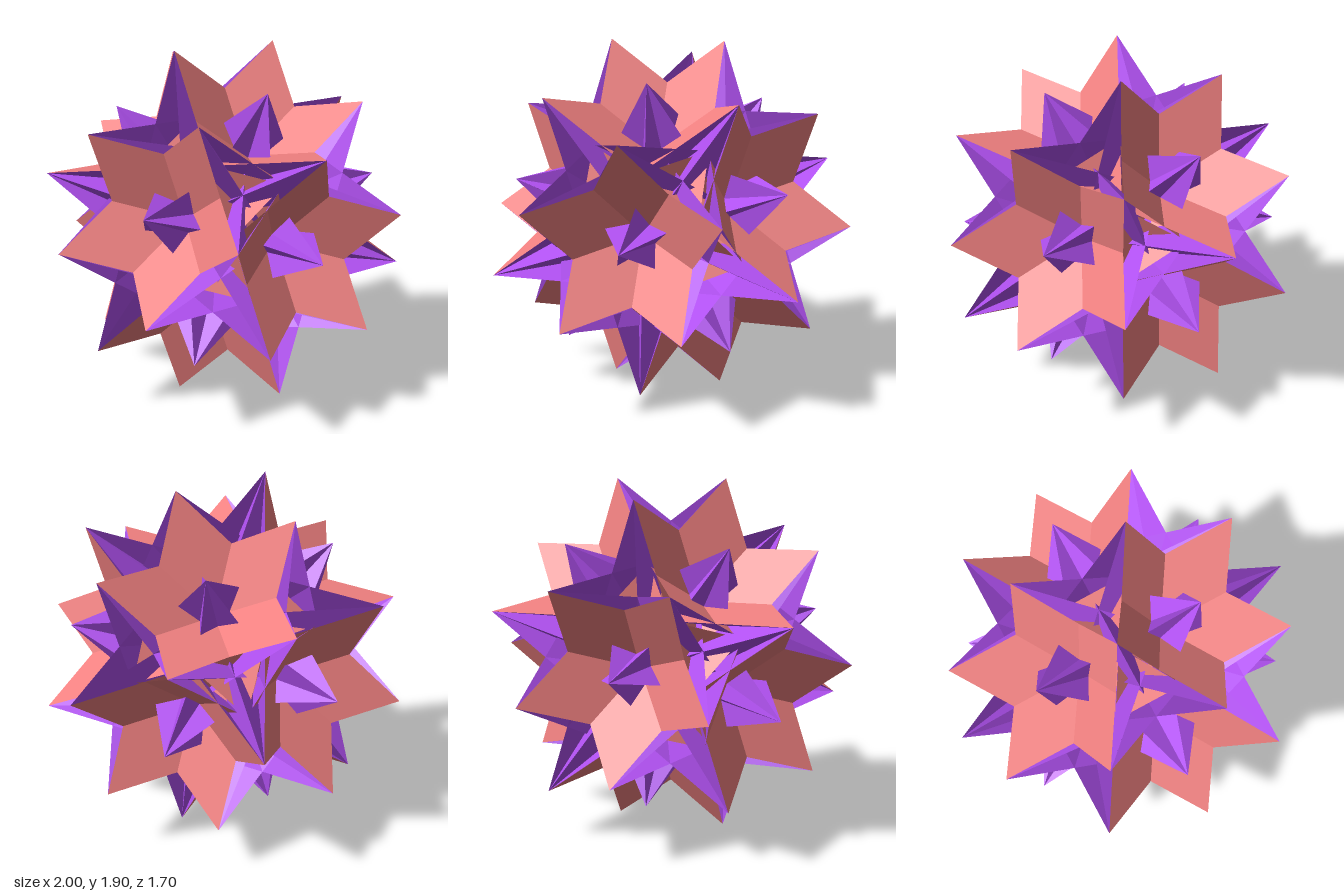
import * as THREE from 'three';

const PHI = (1 + Math.sqrt(5)) / 2;
const near = (a, b) => Math.abs(a - b) < 0.01;

// Five-fold axes: one pair along z and two rings of five
function fiveFoldAxes() {
  const axes = [new THREE.Vector3(0, 0, 1)];
  for (let i = 0; i < 5; i++) {
    const a = Math.PI / 2 + (i * Math.PI * 2) / 5;
    axes.push(new THREE.Vector3(2 * Math.cos(a), 2 * Math.sin(a), 1).normalize());
  }
  return axes.concat(axes.map((v) => v.clone().negate()));
}

// Flat triangles, each wound to face away from the centre
function triangleMesh(name, triangles, material) {
  const points = [];
  for (const [a, b, c] of triangles) {
    const normal = b.clone().sub(a).cross(c.clone().sub(a));
    const middle = a.clone().add(b).add(c);
    points.push(...(normal.dot(middle) < 0 ? [a, c, b] : [a, b, c]));
  }
  const geometry = new THREE.BufferGeometry().setFromPoints(points);
  geometry.computeVertexNormals();
  const mesh = new THREE.Mesh(geometry, material);
  mesh.name = name;
  return mesh;
}

export function createModel() {
  const group = new THREE.Group();
  group.name = 'starPolyhedron';
  const coral = new THREE.MeshStandardMaterial({ color: 0xf08080, flatShading: true, side: THREE.DoubleSide });
  const purple = new THREE.MeshStandardMaterial({ color: 0xb050f0, flatShading: true, side: THREE.DoubleSide });

  // 30 outer points over neighbouring axis pairs, 20 face directions over triples
  const axes = fiveFoldAxes();
  const adjacent = (a, b) => near(a.dot(b), 1 / Math.sqrt(5));
  const tips = [], faceAxes = [];
  axes.forEach((a, i) => axes.forEach((b, j) => {
    if (j <= i || !adjacent(a, b)) return;
    tips.push(a.clone().add(b).normalize());
    axes.forEach((c, k) => {
      if (k > j && adjacent(a, c) && adjacent(b, c)) faceAxes.push(a.clone().add(b).add(c).normalize());
    });
  }));

  // 20 large crossing triangles
  const planeDistance = Math.sqrt(1 - (PHI * PHI) / 3);
  for (const n of faceAxes) {
    const corners = tips.filter((t) => near(t.dot(n), planeDistance));
    group.add(triangleMesh('largeTriangle', [corners], coral));
  }

  // 12 star pyramids: each base lies on the far side, its apex pokes out as a spike
  const apexRadius = Math.sqrt((5 + Math.sqrt(5)) / 10);
  const baseDistance = Math.sqrt((5 - Math.sqrt(5)) / 10);
  for (const axis of axes) {
    const apex = axis.clone().multiplyScalar(apexRadius);
    const base = tips.filter((t) => near(t.dot(axis), -baseDistance));
    const sides = [];
    base.forEach((a, i) => base.slice(i + 1).forEach((b) => {
      if (near(a.distanceTo(b), PHI)) sides.push([apex, a, b]);
    }));
    group.add(triangleMesh('starPyramid', sides, purple));
  }

  // Stand the lowest points on the ground
  for (const mesh of group.children) mesh.position.y = Math.sin(Math.PI * 0.4);
  return group;
}
